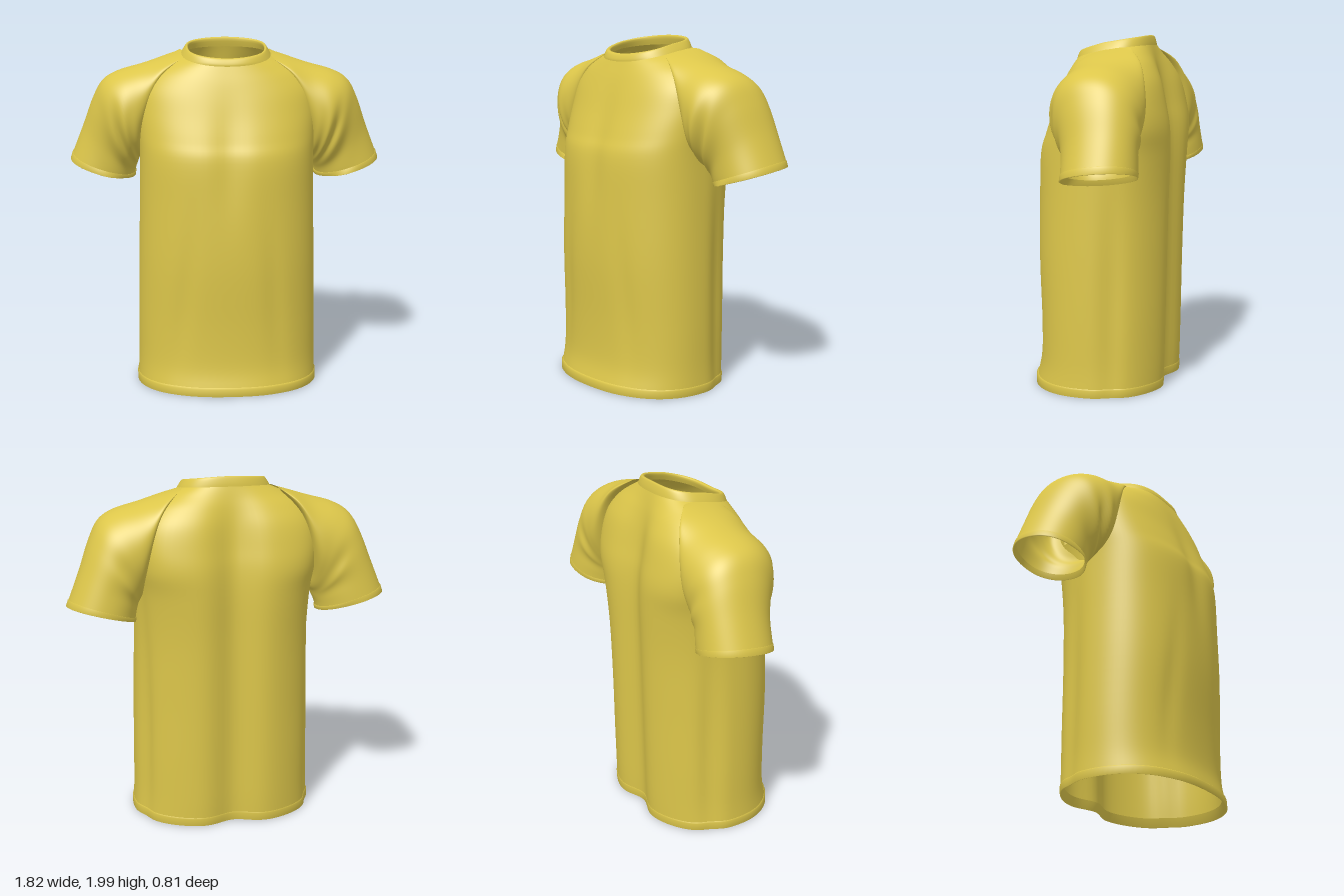
import * as THREE from 'three';

const SEG = 96;
const bump = (v, c, w) => Math.exp(-(((v - c) / w) ** 2));

// Catmull-Rom blend between the rows of a small ring table
function refine(rows, sub) {
  const out = [];
  const at = (i) => rows[Math.max(0, Math.min(rows.length - 1, i))];
  for (let i = 0; i < rows.length - 1; i++) {
    for (let k = 0; k < sub; k++) {
      const t = k / sub;
      out.push(rows[i].map((p1, c) => {
        const p0 = at(i - 1)[c], p2 = at(i + 1)[c], p3 = at(i + 2)[c];
        return p1 + 0.5 * t * (p2 - p0 + t * (2 * p0 - 5 * p1 + 4 * p2 - p3 + t * (3 * (p1 - p2) + p3 - p0)));
      }));
    }
  }
  out.push(rows[rows.length - 1]);
  return out;
}

// Skin closed rings: point(row, angle, progress) gives [x, y, z]; hole(x, y, z) leaves faces out
function loft(name, rows, point, material, hole = () => false) {
  const pos = [], index = [];
  rows.forEach((row, i) => {
    for (let j = 0; j < SEG; j++) {
      const p = point(row, (j / SEG) * Math.PI * 2, i / (rows.length - 1));
      pos.push(...p);
      if (i === rows.length - 1 || hole(...p)) continue;
      const a = i * SEG + j, b = i * SEG + ((j + 1) % SEG);
      index.push(a, a + SEG, b, b, a + SEG, b + SEG);
    }
  });
  const geometry = new THREE.BufferGeometry();
  geometry.setAttribute('position', new THREE.Float32BufferAttribute(pos, 3));
  geometry.setIndex(index);
  geometry.computeVertexNormals();
  const mesh = new THREE.Mesh(geometry, material);
  mesh.name = name;
  return mesh;
}

// Torso ring: half width, side z, front z, back z, side y, front y, back y,
// front and back squareness, depth of the folds
function torsoPoint([sx, zs, zF, zB, yS, yF, yB, nF, nB, fold], t) {
  const c = Math.cos(t), s = Math.sin(t);
  const n = s > 0 ? nF : nB;
  const r = (Math.abs(c) ** n + Math.abs(s) ** n) ** (-1 / n);
  let x = sx * r * c;
  let z = zs + (s > 0 ? zF - zs : zs - zB) * r * s;
  const y = yS + ((s > 0 ? yF : yB) - yS) * Math.abs(s) ** 1.15;
  if (s < 0) {
    // Hollow along the spine
    z += fold * 0.07 * bump(x, 0, 0.12) * Math.min(1, -2 * s);
  } else {
    // Hollow between the chest halves and long drape folds
    z -= fold * s * 0.022 * bump(x, 0, 0.09) * bump(y, 1.35, 0.3);
    z -= fold * s * 0.014 * bump(Math.abs(x), 0.3 - 0.08 * y, 0.05) * bump(y, 0.55, 0.4);
  }
  // Hollow down each side
  x -= Math.sign(c) * fold * 0.03 * bump(z, -0.16, 0.06) * Math.abs(c) * bump(y, 0.5, 0.7);
  return [x, y, z];
}

// Opening in the body wall where the sleeve joins
const armhole = (x, y, z) =>
  y > 1.45 && y < 1.77 && Math.abs(z + 0.1) < 0.14 && Math.abs(x) > 0.42;

// Sleeve ring: top x, y, underarm x, y, centre z, half depth, drop of the front edge
function sleevePoint(side) {
  return ([tx, ty, bx, by, zc, hz, drop], t, u) => {
    const c = Math.cos(t), s = -side * Math.sin(t), n = 2.15;
    let r = (Math.abs(c) ** n + Math.abs(s) ** n) ** (-1 / n);
    // Gathered cloth at the front and, softer, at the back of the armhole
    const low = bump(c, -0.25, 0.6) * bump(u, 0.64, 0.18);
    r += 0.07 * Math.max(0, s) * low * Math.sin(u * 28 + c * 4);
    r += 0.03 * Math.max(0, -s) * low * Math.sin(u * 20 - c * 3);
    return [
      side * ((tx + bx) / 2 + (r * c * (tx - bx)) / 2),
      (ty + by) / 2 + (r * c * (ty - by)) / 2 - drop * r * s,
      zc + hz * r * s,
    ];
  };
}

export function createModel() {
  const shirt = new THREE.Group();
  shirt.name = 'shirt';
  const cloth = new THREE.MeshStandardMaterial({ color: 0xdcc64a, side: THREE.DoubleSide });
  cloth.name = 'yellow cloth';

  // Body from hem to neckline
  shirt.add(loft('body', refine([
    [0.525, 0, 0.395, -0.395, 0.05, 0.05, 0.05, 2.3, 2.25, 1],
    [0.52, 0, 0.37, -0.4, 0.17, 0.17, 0.17, 2.3, 2.25, 1],
    [0.518, 0, 0.367, -0.405, 0.4, 0.4, 0.4, 2.3, 2.25, 1],
    [0.512, 0, 0.38, -0.412, 0.75, 0.75, 0.75, 2.3, 2.25, 1],
    [0.503, 0, 0.375, -0.418, 1.1, 1.1, 1.1, 2.3, 2.4, 1],
    [0.5, -0.01, 0.362, -0.422, 1.35, 1.34, 1.35, 2.4, 2.8, 1],
    [0.51, -0.03, 0.325, -0.415, 1.5, 1.45, 1.5, 2.4, 3.4, 1],
    [0.515, -0.05, 0.275, -0.393, 1.63, 1.58, 1.62, 2.4, 3.4, 0.95],
    [0.495, -0.06, 0.235, -0.364, 1.75, 1.69, 1.74, 2.4, 3.1, 0.8],
    [0.43, -0.07, 0.205, -0.325, 1.84, 1.77, 1.83, 2.4, 2.7, 0.5],
    [0.335, -0.07, 0.18, -0.285, 1.89, 1.83, 1.9, 2.5, 2.5, 0.2],
    [0.255, -0.06, 0.165, -0.255, 1.922, 1.865, 1.95, 2.6, 2.6, 0],
  ], 5), torsoPoint, cloth, armhole));

  // Turned hem
  shirt.add(loft('hem', [
    [0.505, 0, 0.375, -0.38, 0.06, 0.06, 0.06, 2.3, 2.25, 1],
    [0.522, 0, 0.394, -0.39, 0.01, 0.01, 0.01, 2.3, 2.25, 1],
    [0.53, 0, 0.405, -0.396, 0.008, 0.008, 0.008, 2.3, 2.25, 1],
    [0.53, 0, 0.403, -0.398, 0.05, 0.05, 0.05, 2.3, 2.25, 1],
    [0.524, 0, 0.393, -0.395, 0.058, 0.058, 0.058, 2.3, 2.25, 1],
  ], torsoPoint, cloth));

  // Ribbed neckband, lying flat against the neckline
  shirt.add(loft('collar', refine([
    [0.258, -0.06, 0.168, -0.257, 1.917, 1.86, 1.945, 2.6, 2.6, 0],
    [0.25, -0.06, 0.167, -0.254, 1.932, 1.873, 1.965, 2.6, 2.6, 0],
    [0.235, -0.055, 0.157, -0.247, 1.954, 1.895, 1.99, 2.7, 2.7, 0],
    [0.226, -0.05, 0.145, -0.24, 1.963, 1.904, 2, 2.7, 2.7, 0],
    [0.217, -0.05, 0.128, -0.224, 1.953, 1.897, 1.99, 2.7, 2.7, 0],
    [0.228, -0.055, 0.138, -0.235, 1.92, 1.862, 1.945, 2.7, 2.7, 0],
  ], 3), torsoPoint, cloth));

  for (const side of [1, -1]) {
    const label = side > 0 ? 'left' : 'right';
    // Raglan sleeve from the neckband over the shoulder to the opening
    shirt.add(loft(label + 'Sleeve', refine([
      [0.25, 1.925, 0.31, 1.88, -0.08, 0.13, 0.02],
      [0.35, 1.9, 0.42, 1.72, -0.1, 0.2, 0.015],
      [0.48, 1.86, 0.475, 1.45, -0.11, 0.243, 0],
      [0.62, 1.82, 0.485, 1.35, -0.105, 0.256, 0],
      [0.71, 1.765, 0.505, 1.31, -0.115, 0.247, 0],
      [0.77, 1.66, 0.515, 1.28, -0.135, 0.227, 0.01],
      [0.83, 1.5, 0.525, 1.25, -0.16, 0.207, 0.02],
      [0.895, 1.335, 0.53, 1.222, -0.17, 0.204, 0.025],
    ], 6), sleevePoint(side), cloth));
    // Turned cuff
    shirt.add(loft(label + 'Cuff', [
      [0.89, 1.342, 0.532, 1.228, -0.17, 0.202, 0.025],
      [0.897, 1.34, 0.525, 1.226, -0.17, 0.206, 0.025],
      [0.908, 1.306, 0.527, 1.206, -0.17, 0.207, 0.025],
      [0.902, 1.302, 0.533, 1.206, -0.17, 0.202, 0.025],
      [0.88, 1.345, 0.54, 1.238, -0.17, 0.194, 0.025],
    ], sleevePoint(side), cloth));
  }
  return shirt;
}
